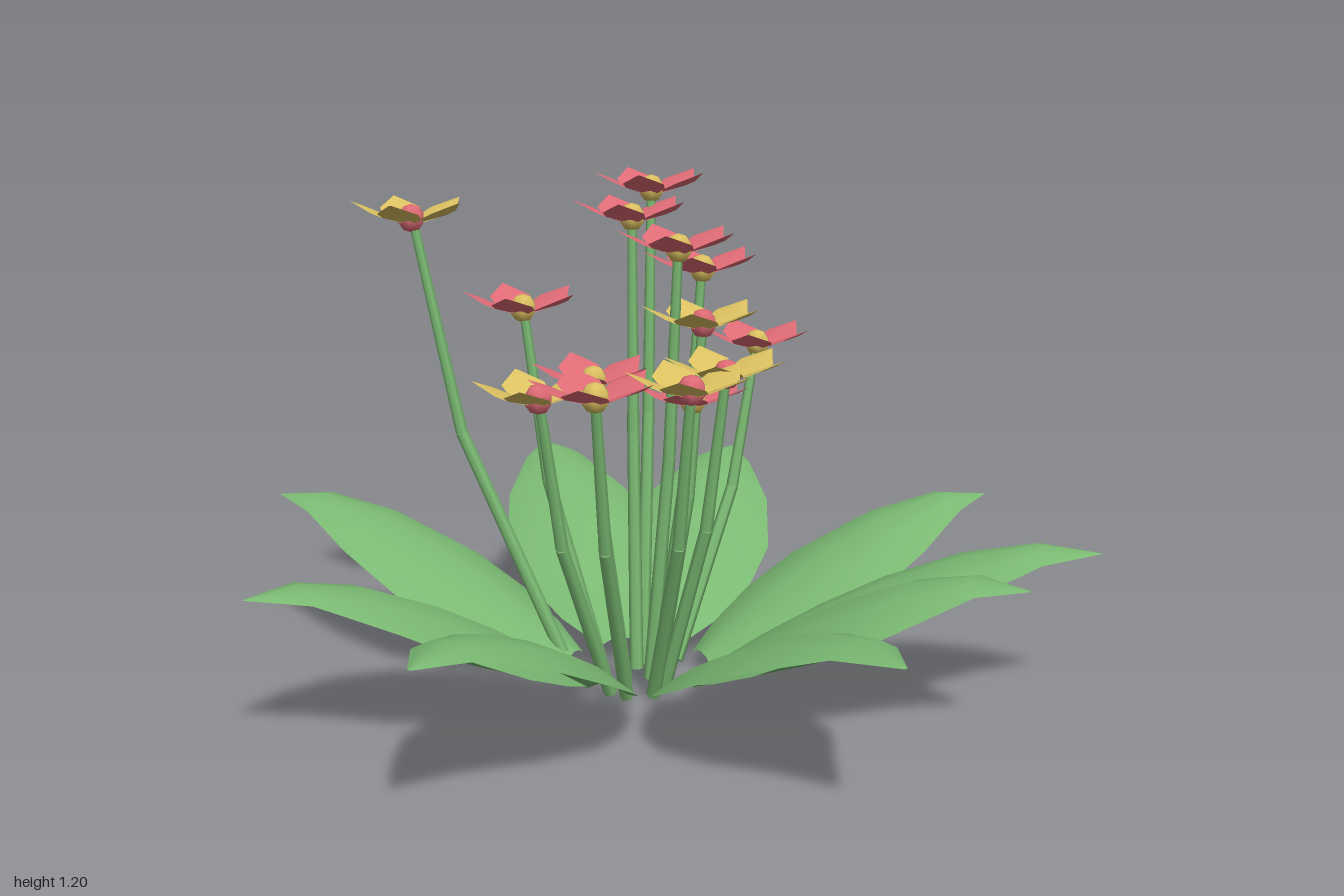
import * as THREE from 'three';

const flat = (name, color) => {
  const m = new THREE.MeshStandardMaterial({ color, side: THREE.DoubleSide });
  m.name = name;
  return m;
};

// Thin blade along +x from rows of [distance, height, half width]; its edges droop
function blade(rows, across, droop) {
  const pos = [], index = [], n = across + 1;
  rows.forEach(([r, y, w], i) => {
    for (let j = 0; j < n; j++) {
      const u = (2 * j) / across - 1;
      pos.push(r, y - droop * u * u * w, u * w);
      if (i < rows.length - 1 && j < across) {
        const a = i * n + j, c = a + n;
        index.push(a, a + 1, c, a + 1, c + 1, c);
      }
    }
  });
  const g = new THREE.BufferGeometry();
  g.setAttribute('position', new THREE.Float32BufferAttribute(pos, 3));
  g.setIndex(index);
  g.computeVertexNormals();
  return g;
}

// Tapered rod between two points
function rod(a, b, ra, rb, material) {
  const d = b.clone().sub(a);
  const mesh = new THREE.Mesh(new THREE.CylinderGeometry(rb, ra, d.length(), 6), material);
  mesh.position.copy(a).addScaledVector(d, 0.5);
  mesh.quaternion.setFromUnitVectors(new THREE.Vector3(0, 1, 0), d.normalize());
  return mesh;
}

export function createModel() {
  const model = new THREE.Group();
  model.name = 'floweringPlant';
  const green = flat('leaf green', 0x7ab972);
  const pink = flat('petal pink', 0xdf6b76);
  const yellow = flat('petal yellow', 0xdcc161);
  const centreZ = -0.03;

  // Leaves: a rosette of arched blades, placed by their tips [x, z]
  const leafGeo = blade([
    [0.17, 0.05, 0.05], [0.27, 0.12, 0.125], [0.4, 0.2, 0.185], [0.54, 0.275, 0.205],
    [0.71, 0.345, 0.165], [0.87, 0.38, 0.08], [1, 0.365, 0.003],
  ], 4, 0.35);
  const tips = [
    [-0.25, -0.99], [0.57, -0.83], [0.99, -0.44], [0.94, -0.08], [0.89, 0.5],
    [0.09, 0.98], [-0.47, 0.82], [-1, 0.1], [-0.75, -0.76],
  ];
  for (const [x, z] of tips) {
    const leaf = new THREE.Mesh(leafGeo, green);
    leaf.name = 'leaf';
    const dz = z - centreZ, len = Math.hypot(x, dz);
    leaf.position.z = centreZ;
    leaf.rotation.y = Math.atan2(-dz, x);
    leaf.scale.set(len, 1, 1);
    model.add(leaf);
  }

  // Flowers: head position [x, y, z] and whether the petals are pink
  const heads = [
    [-0.56, 1.1, 0.09, 0], [-0.13, 1.16, -0.31, 1], [-0.12, 1.1, -0.2, 1],
    [0.08, 1.05, -0.07, 1], [0.04, 0.98, -0.26, 1], [-0.31, 0.89, -0.01, 1],
    [0.14, 0.88, -0.08, 0], [0.28, 0.79, 0.23, 0], [0.26, 0.79, 0.03, 0],
    [-0.07, 0.75, 0.06, 1], [0.12, 0.78, 0.36, 1], [-0.03, 0.76, 0.35, 0],
    [0.05, 0.76, -0.54, 1], [0.12, 0.7, -0.07, 1],
  ];
  const petalGeo = blade([
    [0.005, 0, 0.01], [0.068, 0.026, 0.048], [0.095, 0.038, 0.05], [0.142, 0.056, 0.002],
  ], 2, 0.12);
  const heartGeo = new THREE.SphereGeometry(0.034, 6, 5);

  for (const [x, y, z, isPink] of heads) {
    const flower = new THREE.Group();
    flower.name = 'flower';

    // Stem leans outward and bends once near half height
    const at = (k, h) => new THREE.Vector3(x * k, h, centreZ + (z - centreZ) * k);
    const bend = at(0.79, y * 0.53);
    const stem = new THREE.Group();
    stem.name = 'stem';
    stem.add(rod(at(0.31, 0.008), bend, 0.017, 0.015, green));
    stem.add(rod(bend, at(0.99, y - 0.012), 0.015, 0.011, green));
    flower.add(stem);

    // Five raised petals around a round heart
    const head = new THREE.Group();
    head.name = 'flowerHead';
    head.position.set(x, y - 0.015, z);
    for (let i = 0; i < 5; i++) {
      const petal = new THREE.Mesh(petalGeo, isPink ? pink : yellow);
      petal.name = 'petal';
      petal.rotation.y = (i * Math.PI * 2) / 5;
      head.add(petal);
    }
    const heart = new THREE.Mesh(heartGeo, isPink ? yellow : pink);
    heart.name = 'flowerHeart';
    heart.position.y = 0.014;
    head.add(heart);
    flower.add(head);
    model.add(flower);
  }
  return model;
}
